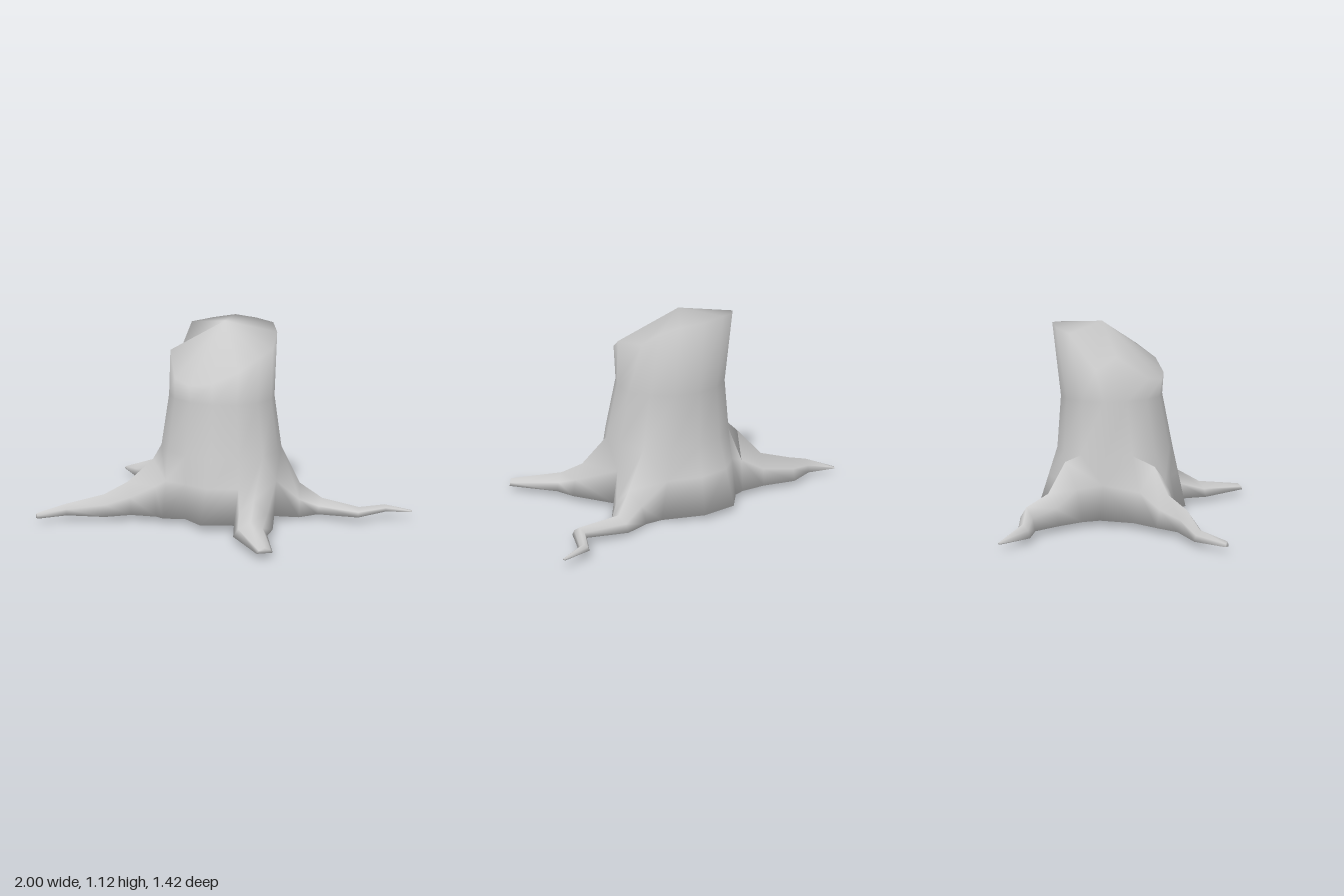
import * as THREE from 'three';

const COLUMNS = 14;

// Ground outline by trunk column, from the front round to the left.
// The columns left out are where a root grows.
const foot = {
  0: [0.02, 0.03, 0.18], 1: [0.16, 0.03, 0.22], 2: [0.33, 0.03, 0.09], 4: [0.38, 0.03, -0.19],
  6: [0.24, 0, -0.47], 7: [0.04, 0.03, -0.6], 8: [-0.17, 0.03, -0.58], 9: [-0.27, 0.03, -0.46],
  11: [-0.34, 0.03, -0.13], 13: [-0.09, 0.03, 0.25],
};

// Slanted, notched rim of the break
const rim = [
  [0, 0.8, 0.125], [0.14, 0.82, 0.09], [0.26, 0.89, 0], [0.31, 0.96, -0.13], [0.27, 0.98, -0.31],
  [0.22, 1.06, -0.42], [0.14, 1.1, -0.49], [0, 1.11, -0.515], [-0.14, 1.12, -0.49], [-0.25, 1.1, -0.42],
  [-0.33, 1.08, -0.31], [-0.32, 0.88, -0.16], [-0.28, 0.95, -0.05], [-0.13, 0.82, 0.09],
];

// Roots: trunk column, then stations of x, z, half width, top, bottom
const roots = [
  { // back right
    column: 10,
    stations: [
      [-0.37, -0.325, 0.12, 0.36, 0.03], [-0.51, -0.37, 0.075, 0.205, 0.03], [-0.68, -0.43, 0.052, 0.16, 0.03],
      [-0.83, -0.385, 0.04, 0.105, 0.03], [-1.0, -0.45, 0.01, 0.04, 0.03],
    ],
  },
  { // front right
    column: 12,
    stations: [
      [-0.24, 0.16, 0.13, 0.34, 0.03], [-0.34, 0.27, 0.075, 0.21, 0.03], [-0.41, 0.4, 0.055, 0.15, 0.03],
      [-0.59, 0.53, 0.035, 0.09, 0.03], [-0.66, 0.7, 0.013, 0.06, 0.03],
    ],
  },
  { // front left
    column: 3,
    stations: [
      [0.43, 0.08, 0.11, 0.19, 0.03], [0.5, 0.2, 0.095, 0.11, 0.03], [0.735, 0.385, 0.045, 0.06, 0.03],
    ],
  },
  { // back left
    column: 5,
    stations: [
      [0.41, -0.4, 0.105, 0.19, 0.01], [0.52, -0.475, 0.075, 0.1, 0.02], [0.77, -0.48, 0.045, 0.09, 0.04],
      [0.84, -0.65, 0.03, 0.08, 0.045], [0.99, -0.705, 0.008, 0.06, 0.05],
    ],
  },
];

const trunkRing = (cx, cz, rx, rz, y) => rim.map((_, i) => {
  const a = (i / COLUMNS) * Math.PI * 2;
  return [cx + rx * Math.sin(a), y, cz + rz * Math.cos(a)];
});

// Cross-sections of a root, running from one ground edge over the crest to the other
function rootRings(stations) {
  const section = [[1, 0], [0.72, 0.55], [0, 1], [-0.72, 0.55], [-1, 0]];
  return stations.map(([x, z, w, top, bottom], i) => {
    const p = stations[Math.max(i - 1, 0)], q = stations[Math.min(i + 1, stations.length - 1)];
    const t = new THREE.Vector2(q[0] - p[0], q[1] - p[1]).normalize();
    return section.map(([s, h]) => [x + t.y * s * w, bottom + (top - bottom) * h, z - t.x * s * w]);
  });
}

function stumpGeometry() {
  const positions = [], index = [];
  const vertex = p => positions.push(...p) / 3 - 1;
  const quad = (a, b, c, d) => index.push(a, b, c, a, c, d);
  // Close a loop of vertices with a fan round a centre
  const fan = (loop, centre) => {
    const c = vertex(centre);
    loop.forEach((v, i) => index.push(v, loop[(i + 1) % loop.length], c));
  };

  // Trunk above the roots
  const waistPoints = trunkRing(0.01, -0.165, 0.365, 0.33, 0.4);
  const rings = [waistPoints, trunkRing(0, -0.18, 0.318, 0.29, 0.7), rim].map(ring => ring.map(vertex));
  const [waist, middle, top] = rings;
  for (let i = 0; i < COLUMNS; i++) {
    const j = (i + 1) % COLUMNS;
    quad(waist[i], waist[j], middle[j], middle[i]);
    quad(middle[i], middle[j], top[j], top[i]);
  }
  fan(top, [-0.02, 1.125, -0.23]);

  // Flared foot between the roots
  const ground = {}, flare = {};
  for (const [i, p] of Object.entries(foot)) {
    ground[i] = vertex(p);
    flare[i] = vertex(p.map((v, k) => v * 0.45 + waistPoints[i][k] * 0.55));
  }
  for (let i = 0; i < COLUMNS; i++) {
    const j = (i + 1) % COLUMNS;
    if (!foot[i] || !foot[j]) continue;
    quad(ground[i], ground[j], flare[j], flare[i]);
    quad(flare[i], flare[j], waist[j], waist[i]);
  }
  fan(Object.values(ground).reverse(), [0, 0.03, -0.2]);

  // Roots drawn out of the gaps in the foot
  for (const { column, stations } of roots) {
    const l = column - 1, r = (column + 1) % COLUMNS;
    index.push(flare[l], waist[column], waist[l], flare[r], waist[r], waist[column]);
    let previous = [ground[r], flare[r], waist[column], flare[l], ground[l]];
    for (const ring of rootRings(stations)) {
      const next = ring.map(vertex);
      next.forEach((v, i) => {
        const j = (i + 1) % next.length;
        quad(previous[i], previous[j], next[j], v);
      });
      previous = next;
    }
    const [x, z, , high, low] = stations[stations.length - 1];
    fan(previous, [x, (high + low) / 2, z]);
  }

  const geometry = new THREE.BufferGeometry();
  geometry.setAttribute('position', new THREE.Float32BufferAttribute(positions, 3));
  geometry.setIndex(index);
  geometry.computeVertexNormals();
  return geometry;
}

export function createModel() {
  const model = new THREE.Group();
  model.name = 'treeStump';
  const stump = new THREE.Mesh(stumpGeometry(), new THREE.MeshStandardMaterial({ color: 0xcccccc }));
  stump.name = 'trunkWithRoots';
  model.add(stump);
  return model;
}
